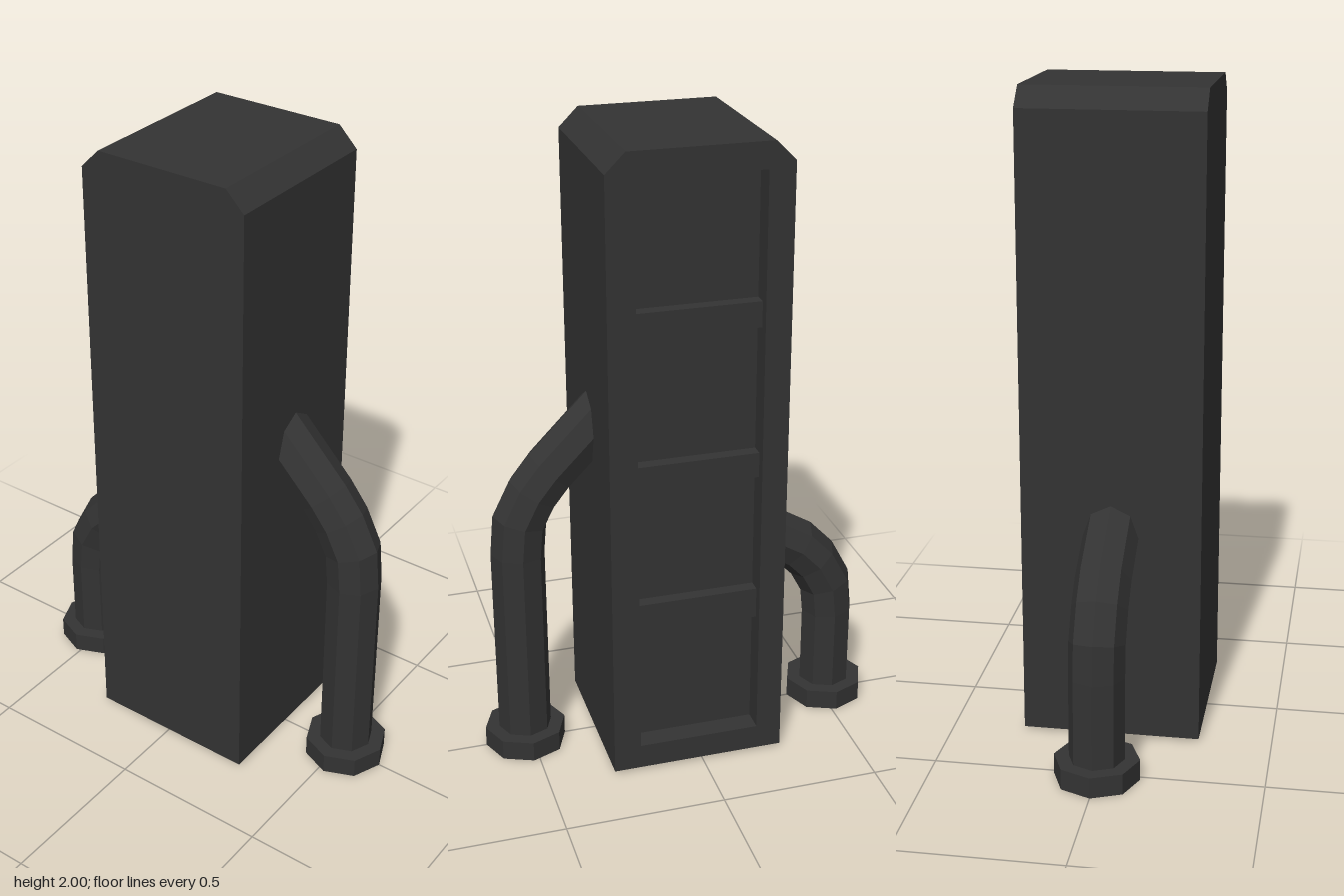
import * as THREE from 'three';

const dark = new THREE.MeshStandardMaterial({ color: 0x333333 });
dark.name = 'charcoal';

function part(name, geometry, parent) {
  const mesh = new THREE.Mesh(geometry, dark);
  mesh.name = name;
  parent.add(mesh);
  return mesh;
}

// Shape given as [z, y] points, extruded along x from x0 to x1
function slab(points, hole, x0, x1) {
  const toVec = ([z, y]) => new THREE.Vector2(-z, y);
  const shape = new THREE.Shape(points.map(toVec));
  if (hole) shape.holes.push(new THREE.Path(hole.map(toVec)));
  const g = new THREE.ExtrudeGeometry(shape, { depth: x1 - x0, bevelEnabled: false });
  return g.rotateY(Math.PI / 2).translate(x0, 0, 0);
}

// Faceted eight-sided pipe with mitred joints along [z, y] points
function pipeGeometry(path, radius) {
  const sides = 8;
  const pts = path.map(([z, y]) => new THREE.Vector2(z, y));
  const pos = [], index = [];
  pts.forEach((p, i) => {
    const before = p.clone().sub(pts[Math.max(i - 1, 0)]).normalize();
    const after = pts[Math.min(i + 1, pts.length - 1)].clone().sub(p).normalize();
    const t = before.clone().add(after).normalize();
    const mitre = 1 / t.dot(i === 0 ? after : before);
    for (let k = 0; k < sides; k++) {
      const a = (k / sides) * Math.PI * 2;
      const s = radius * mitre * Math.sin(a);
      pos.push(radius * Math.cos(a), p.y - t.x * s, p.x + t.y * s);
    }
    if (i === 0) return;
    for (let k = 0; k < sides; k++) {
      const a = (i - 1) * sides + k, b = (i - 1) * sides + ((k + 1) % sides);
      index.push(a, a + sides, b, b, a + sides, b + sides);
    }
  });
  const g = new THREE.BufferGeometry();
  g.setAttribute('position', new THREE.Float32BufferAttribute(pos, 3));
  g.setIndex(index);
  const flat = g.toNonIndexed();
  flat.computeVertexNormals();
  return flat;
}

// Pipe rising from an octagonal floor flange into the cabinet
function addPipe(name, path, parent) {
  const group = new THREE.Group();
  group.name = name;
  part('pipe', pipeGeometry(path, 0.085), group);
  const flange = new THREE.CylinderGeometry(0.13, 0.13, 0.065, 8).toNonIndexed();
  flange.computeVertexNormals();
  part('floorFlange', flange, group).position.set(0, 0.0325, path[0][0]);
  parent.add(group);
}

export function createModel() {
  const model = new THREE.Group();
  model.name = 'cabinetWithPipes';

  // Cabinet with chamfered top edges and a recessed panel on +x
  const outline = [[0.29, 0.01], [0.29, 1.94], [0.23, 2], [-0.2, 2], [-0.26, 1.94], [-0.26, 0.01]];
  const opening = [[0.205, 0.09], [-0.18, 0.09], [-0.18, 1.92], [0.205, 1.92]];
  part('cabinetBody', slab(outline, null, -0.275, 0.205), model);
  part('recessFrame', slab(outline, opening, 0.205, 0.275), model);

  // Crossbars in the recess
  for (const [y0, y1] of [[0.48, 0.58], [0.965, 1.045], [1.445, 1.525]]) {
    part('crossbar', new THREE.BoxGeometry(0.045, y1 - y0, 0.385), model)
      .position.set(0.2225, (y0 + y1) / 2, 0.0125);
  }

  // Tall front pipe and short back pipe
  addPipe('frontPipe', [[0.52, 0.03], [0.52, 0.69], [0.51, 0.8], [0.465, 0.89], [0.41, 0.96], [0.17, 1.205]], model);
  addPipe('backPipe', [[-0.515, 0.03], [-0.515, 0.33], [-0.505, 0.43], [-0.457, 0.52], [-0.395, 0.585], [-0.15, 0.73]], model);

  return model;
}
